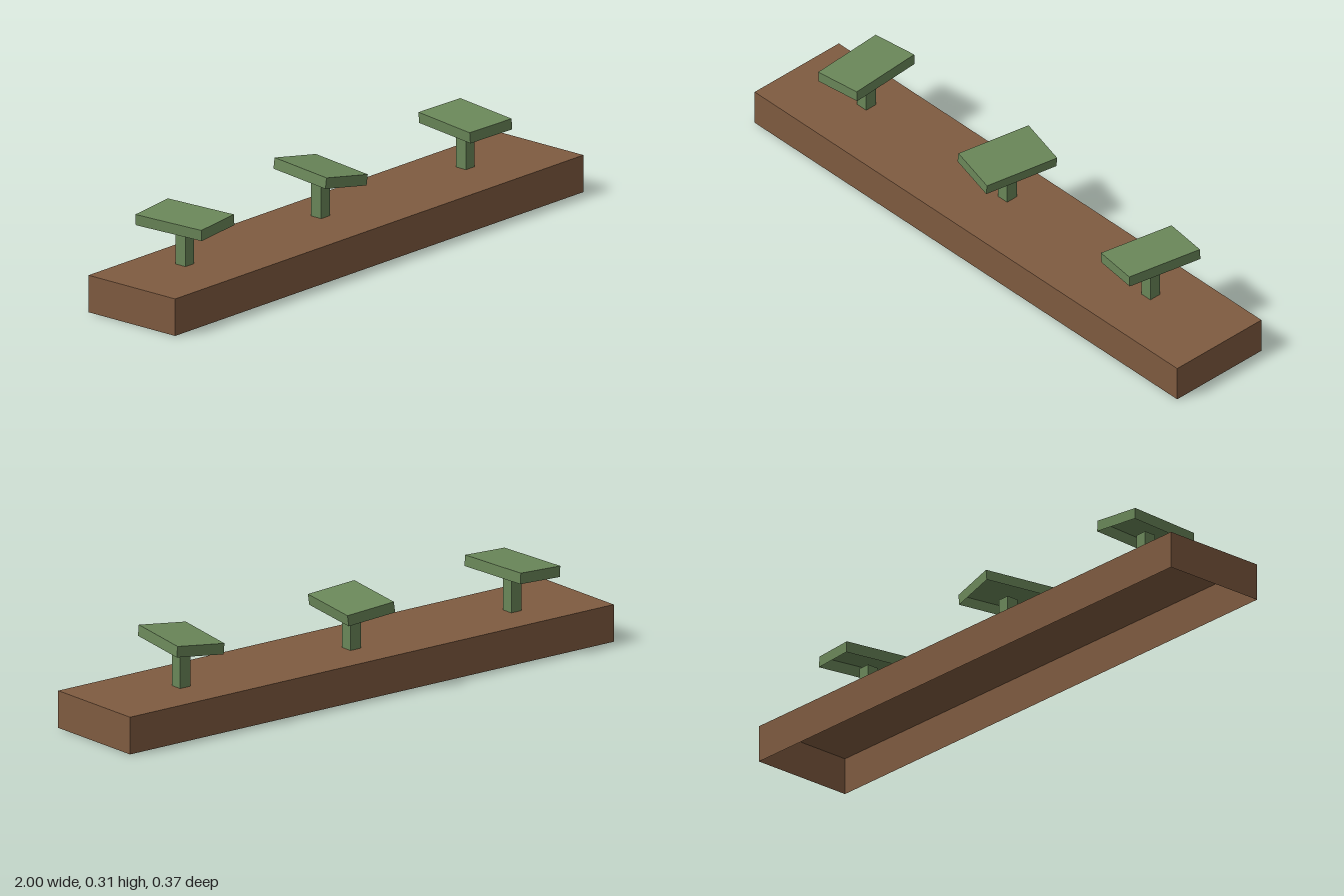
import * as THREE from 'three';

// Box without its bottom face, standing on y = 0
function openBox(w, h, d) {
  const geometry = new THREE.BoxGeometry(w, h, d).translate(0, h / 2, 0);
  const index = Array.from(geometry.index.array);
  index.splice(18, 6);
  geometry.setIndex(index);
  geometry.clearGroups();
  return geometry;
}

export function createModel() {
  const model = new THREE.Group();
  model.name = 'plankWithCappedPosts';

  const brown = new THREE.MeshStandardMaterial({ color: 0x7f5b40, side: THREE.DoubleSide });
  brown.name = 'wood brown';
  const green = new THREE.MeshStandardMaterial({ color: 0x6a8759, side: THREE.DoubleSide });
  green.name = 'moss green';

  const add = (parent, name, geometry, material) => {
    const mesh = new THREE.Mesh(geometry, material);
    mesh.name = name;
    parent.add(mesh);
    return mesh;
  };

  // Hollow plank, open underneath
  const baseHeight = 0.126;
  add(model, 'base', openBox(2, baseHeight, 0.374), brown);

  // Posts with hollow caps, each cap turned and then tilted sideways
  const postGeometry = openBox(0.043, 0.139, 0.043);
  const capHeight = 0.037;
  const capGeometry = openBox(0.172, capHeight, 0.271).translate(0, -capHeight / 2, 0);
  const stands = [
    { name: 'rightStand', x: -0.704, z: -0.032, capY: 0.276, yaw: 3.4, tilt: 3.5 },
    { name: 'middleStand', x: -0.038, z: -0.033, capY: 0.277, yaw: -10.2, tilt: -7.5 },
    { name: 'leftStand', x: 0.655, z: -0.019, capY: 0.283, yaw: -10.8, tilt: 4.6 },
  ];
  for (const s of stands) {
    const stand = new THREE.Group();
    stand.name = s.name;
    stand.position.set(s.x, 0, s.z);
    add(stand, 'post', postGeometry, green).position.y = baseHeight;
    const cap = add(stand, 'cap', capGeometry, green);
    cap.position.y = s.capY;
    cap.rotation.set(0, THREE.MathUtils.degToRad(s.yaw), THREE.MathUtils.degToRad(s.tilt), 'YXZ');
    model.add(stand);
  }
  return model;
}
